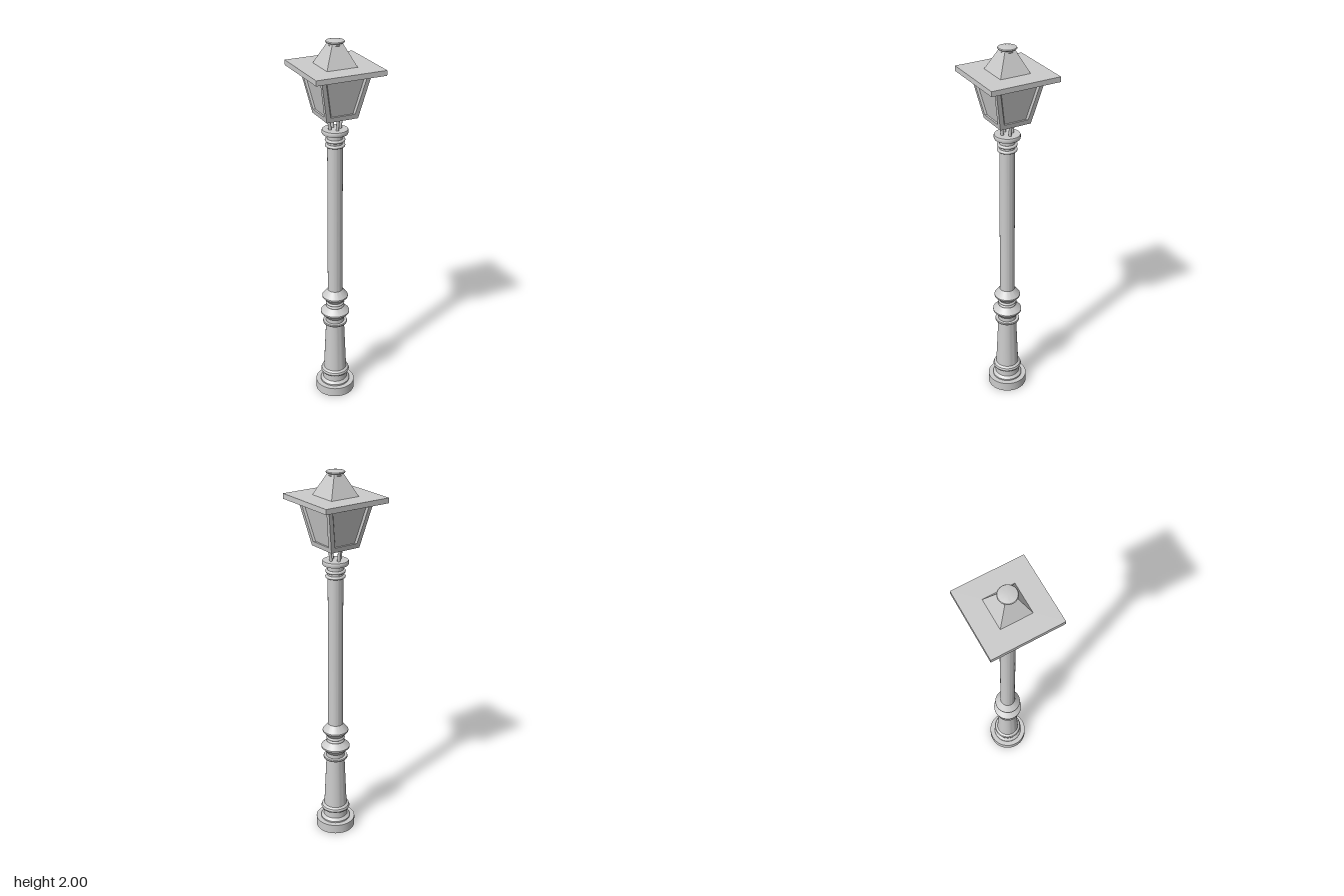
import * as THREE from 'three';
import { toCreasedNormals } from 'three/addons/utils/BufferGeometryUtils.js';

const grey = new THREE.MeshStandardMaterial({ color: 0xcccccc });

function add(parent, name, geometry) {
  const mesh = new THREE.Mesh(geometry, grey);
  mesh.name = name;
  parent.add(mesh);
  return mesh;
}

// Turned part from [radius, height] pairs, listed bottom to top
function turned(points, segments = 40) {
  const lathe = new THREE.LatheGeometry(points.map(([r, y]) => new THREE.Vector2(r, y)), segments);
  return toCreasedNormals(lathe, 0.45);
}

// Square frustum given by half widths
function frustum(topHalf, bottomHalf, y0, y1) {
  const g = new THREE.CylinderGeometry(topHalf * Math.SQRT2, bottomHalf * Math.SQRT2, y1 - y0, 4);
  g.rotateY(Math.PI / 4).translate(0, (y0 + y1) / 2, 0);
  const flat = g.toNonIndexed();
  flat.computeVertexNormals();
  return flat;
}

const CAGE = { y0: 1.625, y1: 1.852, bottom: 0.083, top: 0.13, recess: 0.01 };
const cageHalf = (y) =>
  THREE.MathUtils.mapLinear(y, CAGE.y0, CAGE.y1, CAGE.bottom, CAGE.top);

// One sloped window frame: a trapezoid with a hole, leaned and mitred at the corners
function windowFrame() {
  const trapezoid = (Type, y0, h0, y1, h1) =>
    new Type([[-h0, y0], [h0, y0], [h1, y1], [-h1, y1]].map(([x, y]) => new THREE.Vector2(x, y)));
  const shape = trapezoid(THREE.Shape, CAGE.y0, CAGE.bottom, CAGE.y1, CAGE.top);
  shape.holes.push(trapezoid(THREE.Path, 1.65, 0.065, 1.832, 0.105));
  const g = new THREE.ExtrudeGeometry(shape, { depth: CAGE.recess, bevelEnabled: false });
  const p = g.attributes.position;
  for (let i = 0; i < p.count; i++) {
    const h = cageHalf(p.getY(i));
    const z = h - CAGE.recess + p.getZ(i);
    p.setXYZ(i, p.getX(i) * z / h, p.getY(i), z);
  }
  g.computeVertexNormals();
  return g;
}

export function createModel() {
  const model = new THREE.Group();
  model.name = 'streetLamp';

  // Plinth, tapered pedestal and its mouldings
  add(model, 'plinth', turned([[0, 0], [0.106, 0], [0.106, 0.052], [0, 0.052]]));
  add(model, 'pedestal', turned([
    [0.08, 0.052], [0.08, 0.06], [0.066, 0.073], [0.066, 0.106],
    [0.074, 0.112], [0.078, 0.122], [0.074, 0.133], [0.062, 0.141],
    [0.049, 0.434], [0.064, 0.434], [0.066, 0.44], [0.064, 0.446], [0.049, 0.446],
  ]));
  add(model, 'mouldings', turned([
    [0.049, 0.44], [0.049, 0.468], [0.077, 0.5], [0.077, 0.508], [0.044, 0.537],
  ]));
  add(model, 'upperMoulding', turned([
    [0.044, 0.535], [0.044, 0.568], [0.069, 0.597], [0.069, 0.605], [0.04, 0.642],
  ]));

  // Shaft, collar and thin rings
  add(model, 'shaft', turned([
    [0.039, 0.63], [0.039, 1.533], [0.064, 1.533], [0.066, 1.538],
    [0.066, 1.551], [0.064, 1.556], [0, 1.556],
  ]));
  for (const [y, r] of [[0.543, 0.042], [0.559, 0.042], [1.473, 0.043], [1.5, 0.043]]) {
    const ring = add(model, 'ring', new THREE.TorusGeometry(r, 0.008, 10, 40));
    ring.rotation.x = Math.PI / 2;
    ring.position.y = y;
  }

  // Lantern cage: glass core, four frames and four supporting bars
  const lantern = new THREE.Group();
  lantern.name = 'lantern';
  model.add(lantern);
  add(lantern, 'glass', frustum(CAGE.top - CAGE.recess, CAGE.bottom - CAGE.recess, CAGE.y0, CAGE.y1));
  const frame = windowFrame();
  const bar = new THREE.TubeGeometry(new THREE.CatmullRomCurve3([
    new THREE.Vector3(0, 1.55, 0.027), new THREE.Vector3(0, 1.585, 0.031),
    new THREE.Vector3(0, 1.63, 0.041),
  ]), 8, 0.008, 10);
  for (let i = 0; i < 4; i++) {
    add(lantern, 'windowFrame', frame).rotation.y = i * Math.PI / 2;
    add(lantern, 'supportBar', bar).rotation.y = i * Math.PI / 2;
  }

  // Flat roof, pyramid cap and finial
  add(lantern, 'roof', new THREE.BoxGeometry(0.364, 0.026, 0.364)).position.y = 1.864;
  add(lantern, 'roofCap', frustum(0.027, 0.08, 1.877, 1.985));
  add(lantern, 'finial', turned([
    [0, 1.972], [0.032, 1.972], [0.034, 1.977], [0.032, 1.981], [0.026, 1.984],
    [0.044, 1.987], [0.047, 1.991], [0.044, 1.995], [0.025, 1.999], [0, 2],
  ]));

  return model;
}
